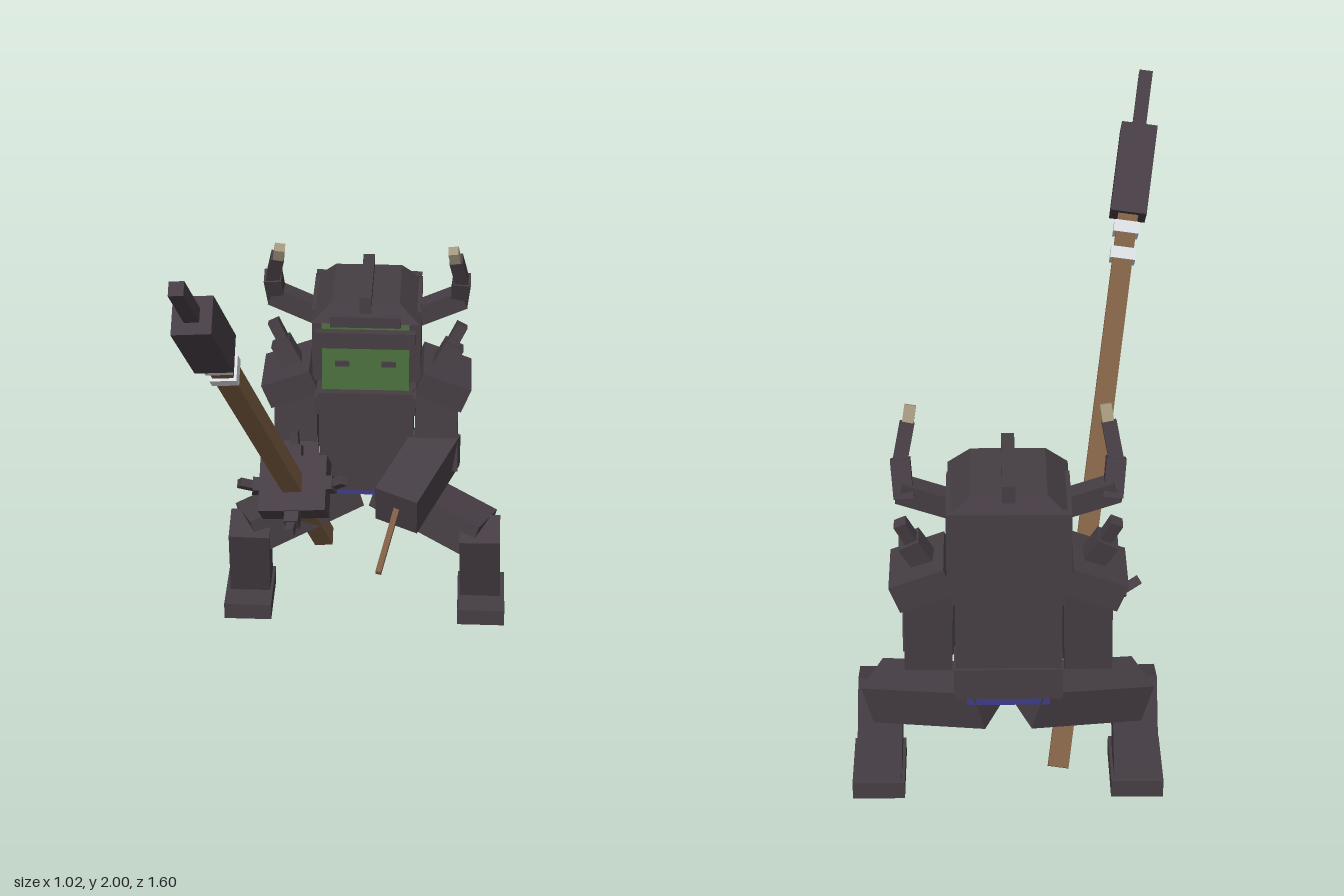
import * as THREE from 'three';

const V = (p) => new THREE.Vector3(...p);
const mat = (name, color) => {
  const m = new THREE.MeshStandardMaterial({ color });
  m.name = name;
  return m;
};

export function createModel() {
  const armour = mat('dark armour', 0x453d43);
  const skin = mat('green skin', 0x4c713e);
  const wood = mat('wood', 0x7c5d42);
  const binding = mat('pale binding', 0xd6dade);
  const cloth = mat('blue cloth', 0x3c3c88);
  const bone = mat('horn tip', 0xa3977c);
  const root = new THREE.Group();
  root.name = 'hornedWarrior';

  // Axis-aligned box from its min and max corners
  const box = (name, m, a, b, parent = root) => {
    const mesh = new THREE.Mesh(new THREE.BoxGeometry(b[0] - a[0], b[1] - a[1], b[2] - a[2]), m);
    mesh.position.set((a[0] + b[0]) / 2, (a[1] + b[1]) / 2, (a[2] + b[2]) / 2);
    mesh.name = name;
    parent.add(mesh);
    return mesh;
  };

  // Rotation whose y axis runs along dir and whose x axis stays close to hint
  const aim = (object, dir, hint) => {
    const y = dir.clone().normalize();
    const x = V(hint).addScaledVector(y, -V(hint).dot(y)).normalize();
    object.quaternion.setFromRotationMatrix(new THREE.Matrix4().makeBasis(x, y, x.clone().cross(y)));
  };

  // Square bar between two points; w is measured along hint
  const bar = (name, m, a, b, w, d, hint = [1, 0, 0], parent = root) => {
    const dir = V(b).sub(V(a));
    const mesh = new THREE.Mesh(new THREE.BoxGeometry(w, dir.length(), d), m);
    mesh.position.copy(V(a).add(V(b)).multiplyScalar(0.5));
    aim(mesh, dir, hint);
    mesh.name = name;
    parent.add(mesh);
    return mesh;
  };

  // Torso, collar and hips
  box('torso', armour, [-0.165, 0.58, -0.7], [0.165, 0.86, -0.5]);
  box('waist', armour, [-0.17, 0.48, -0.71], [0.17, 0.59, -0.5]);
  box('breastRidge', armour, [-0.018, 0.6, -0.5], [0.018, 0.84, -0.492]);
  box('collar', armour, [-0.175, 0.83, -0.71], [0.175, 0.9, -0.445]);
  box('chinGuard', armour, [-0.165, 0.88, -0.48], [0.165, 0.925, -0.43]);
  box('loincloth', cloth, [-0.13, 0.45, -0.7], [0.13, 0.485, -0.52]);

  // Head and helmet
  box('head', skin, [-0.15, 0.9, -0.765], [0.15, 1.2, -0.457]);
  for (const s of [-1, 1]) {
    box('eye', armour, [s * 0.08 - 0.025, 1.02, -0.457], [s * 0.08 + 0.025, 1.04, -0.451]);
    box('cheekPlate', armour, [s * 0.168 - 0.02, 0.92, -0.785], [s * 0.168 + 0.02, 1.2, -0.525]);
  }
  box('backPlate', armour, [-0.185, 0.92, -0.8], [0.185, 1.21, -0.77]);
  box('brow', armour, [-0.17, 1.105, -0.455], [0.17, 1.165, -0.427]);
  box('upperBrow', armour, [-0.12, 1.18, -0.46], [0.12, 1.22, -0.44]);
  const crown = box('helmetCrown', armour, [-0.185, 1.19, -0.79], [0.185, 1.255, -0.45]);
  const p = crown.geometry.attributes.position;
  for (let i = 0; i < p.count; i++) {
    if (p.getY(i) > 0) p.setXYZ(i, p.getX(i) * 0.62, p.getY(i), p.getZ(i) * 0.82);
  }
  crown.geometry.computeVertexNormals();
  box('crest', armour, [-0.02, 1.23, -0.77], [0.02, 1.29, -0.45]);

  for (const s of [-1, 1]) {
    // Horns
    bar('hornBase', armour, [s * 0.17, 1.14, -0.62], [s * 0.33, 1.205, -0.635], 0.065, 0.07, [0, 0, 1]);
    bar('hornMiddle', armour, [s * 0.315, 1.18, -0.645], [s * 0.325, 1.29, -0.6], 0.06, 0.06);
    bar('hornUpper', armour, [s * 0.33, 1.26, -0.61], [s * 0.303, 1.39, -0.555], 0.045, 0.045);
    bar('hornTip', bone, [s * 0.304, 1.37, -0.56], [s * 0.293, 1.435, -0.53], 0.035, 0.035);

    // Shoulders and upper arms
    const pad = box('shoulderPad', armour, [s * 0.265 - 0.09, 0.845, -0.725], [s * 0.265 + 0.09, 0.94, -0.5]);
    pad.rotation.z = -s * 0.37;
    bar('shoulderSpikeBase', armour, [s * 0.25, 0.92, -0.61], [s * 0.305, 1.02, -0.625], 0.07, 0.07);
    bar('shoulderSpike', armour, [s * 0.285, 1.0, -0.625], [s * 0.33, 1.09, -0.64], 0.04, 0.04);
    bar('upperArm', armour, [s * 0.245, 0.9, -0.6], [s * 0.25, 0.57, -0.58], 0.15, 0.18);

    // Legs
    bar('thigh', armour, [s * 0.06, 0.435, -0.63], [s * 0.42, 0.335, -0.455], 0.16, 0.14, [0, 0, 1]);
    bar('shin', armour, [s * 0.41, 0.38, -0.42], [s * 0.42, 0.04, -0.525], 0.145, 0.13);
    box('foot', armour, [s * 0.422 - 0.085, 0.005, -0.6], [s * 0.422 + 0.085, 0.068, -0.355]);
  }

  // Forearms, with a short stick in the left hand
  bar('leftForearm', armour, [0.26, 0.645, -0.57], [0.115, 0.56, -0.255], 0.16, 0.16);
  bar('stick', wood, [0.12, 0.57, -0.27], [0.062, 0.45, -0.035], 0.02, 0.02);
  bar('rightForearm', armour, [-0.25, 0.63, -0.57], [-0.215, 0.52, -0.33], 0.15, 0.16);

  // Spear: local y runs from the butt to the point
  const spear = new THREE.Group();
  spear.name = 'spear';
  const butt = V([-0.16, 0.17, -0.655]);
  const axis = V([-0.48, 1.985, 0.78]).sub(butt);
  const len = axis.length();
  spear.position.copy(butt);
  aim(spear, axis, [1, 0, 0]);
  root.add(spear);
  const part = (name, m, y0, y1, w, d = w) => box(name, m, [-w / 2, y0, -d / 2], [w / 2, y1, d / 2], spear);
  part('shaft', wood, 0, 1.86, 0.066);
  part('lowerBinding', binding, 1.68, 1.72, 0.084);
  part('upperBinding', binding, 1.77, 1.81, 0.084);
  part('spearHead', armour, 1.835, 2.14, 0.12);
  part('spearPoint', armour, 2.14, len, 0.045);
  part('guard', armour, 0.53, 0.62, 0.235, 0.2);

  // Thorns on the four sides of the guard
  for (let i = 0; i < 4; i++) {
    const a = (i * Math.PI) / 2;
    const at = (r, y) => [Math.cos(a) * r, y, Math.sin(a) * r];
    bar('thornBase', armour, at(0.08, 0.585), at(0.145, 0.6), 0.05, 0.05, [0, 1, 0], spear);
    bar('thorn', armour, at(0.13, 0.59), at(0.185, 0.635), 0.03, 0.03, [0, 1, 0], spear);
  }
  return root;
}
